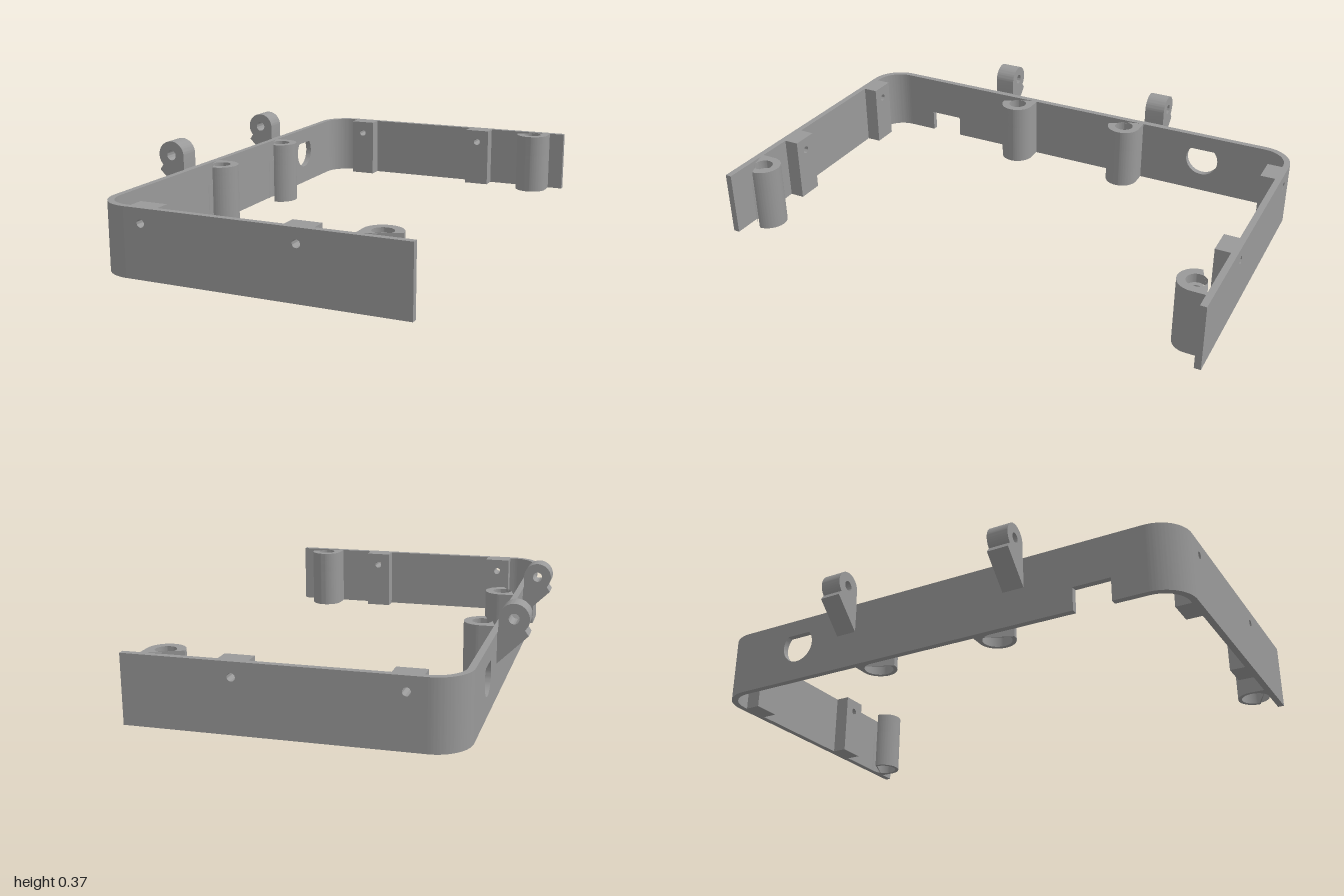
import * as THREE from 'three';
import { toCreasedNormals } from 'three/addons/utils/BufferGeometryUtils.js';

const H = 0.26;        // wall height
const T = 0.025;       // wall thickness
const R = 0.13;        // outer corner radius
const LEFT = -0.545;   // outer face of the long wall
const RIGHT = 0.66;    // open ends of the short walls

const grey = new THREE.MeshStandardMaterial({ color: 0x999999 });
grey.name = 'grey plastic';

function extrude(shape, depth) {
  const geo = new THREE.ExtrudeGeometry(shape, { depth, bevelEnabled: false, curveSegments: 24 });
  return toCreasedNormals(geo, 0.6);
}

function polygon(points) {
  return new THREE.Shape(points.map(([x, y]) => new THREE.Vector2(x, y)));
}

function circle(x, y, r) {
  return new THREE.Path().absarc(x, y, r, 0, Math.PI * 2, false);
}

function add(parent, name, geo) {
  const mesh = new THREE.Mesh(geo, grey);
  mesh.name = name;
  parent.add(mesh);
  return mesh;
}

// Upright slab seen from the front, with screw holes
function drilledSlab(x0, x1, holeXs, z0, z1) {
  const shape = polygon([[x0, 0], [x1, 0], [x1, H], [x0, H]]);
  holeXs.forEach((x) => shape.holes.push(circle(x, 0.205, 0.015)));
  return extrude(shape, z1 - z0).translate(0, 0, z0);
}

// Round post with a flat side towards +z, bored in three steps
function makePost(name, x, z, turn) {
  const post = new THREE.Group();
  post.name = name;
  const layers = [[0, 0.17, 0.055], [0.17, 0.225, 0.02], [0.225, H, 0.038]];
  for (const [y0, y1, bore] of layers) {
    const shape = new THREE.Shape();
    shape.moveTo(0.07, -0.06);
    shape.absarc(0, 0, 0.07, 0, Math.PI, false);
    shape.lineTo(-0.07, -0.06);
    shape.holes.push(circle(0, 0, bore));
    add(post, 'postSection', extrude(shape, y1 - y0).rotateX(-Math.PI / 2).translate(0, y0, 0));
  }
  post.position.set(x, 0, z);
  post.rotation.y = turn;
  return post;
}

export function createModel() {
  const model = new THREE.Group();
  model.name = 'enclosureFrame';

  // Long wall with cable notch and flat-topped round opening
  const inner = 1 - R;
  const wall = polygon([
    [-inner, 0], [0.6, 0], [0.6, 0.09], [0.745, 0.09], [0.745, 0], [inner, 0], [inner, H], [-inner, H],
  ]);
  const flat = 0.736;
  wall.holes.push(new THREE.Path().absarc(-0.605, 0.148, 0.07, Math.PI - flat, Math.PI * 2 + flat, false));
  add(model, 'longWall', extrude(wall, T).rotateY(-Math.PI / 2).translate(LEFT + T, 0, 0));

  // Hinge lug profile
  const lug = new THREE.Shape();
  lug.moveTo(-0.54, 0.135);
  lug.lineTo(-0.54, 0.26);
  lug.lineTo(-0.548, 0.26);
  lug.lineTo(-0.548, 0.313);
  lug.absarc(-0.605, 0.313, 0.057, 0, Math.PI * 1.25, false);
  lug.lineTo(-0.66, 0.252);
  lug.holes.push(circle(-0.605, 0.313, 0.02));

  const screwXs = [-0.345, 0.255];
  for (const s of [1, -1]) {
    const side = s > 0 ? 'front' : 'back';
    const slab = (x0, x1, holes, near, far) =>
      drilledSlab(x0, x1, holes, Math.min(s * near, s * far), Math.max(s * near, s * far));

    // Short wall and its drilled screw blocks
    add(model, side + 'Wall', slab(LEFT + R, RIGHT, screwXs, 1 - T, 1));
    for (const x of screwXs) add(model, side + 'ScrewBlock', slab(x - 0.055, x + 0.055, [x], 0.915, 1 - T));

    // Rounded corner
    const a0 = s > 0 ? Math.PI : Math.PI / 2;
    const corner = new THREE.Shape();
    corner.absarc(0, 0, R, a0, a0 + Math.PI / 2, false);
    corner.absarc(0, 0, R - T, a0 + Math.PI / 2, a0, true);
    add(model, side + 'Corner', extrude(corner, H).rotateX(-Math.PI / 2).translate(LEFT + R, 0, s * inner));

    // Posts on the short and long walls
    model.add(makePost(side + 'EndPost', 0.525, s * 0.92, s > 0 ? 0 : Math.PI));
    model.add(makePost(side + 'MiddlePost', -0.465, s * 0.26, -Math.PI / 2));

    // Hinge lug outside the long wall
    add(model, side + 'HingeLug', extrude(lug, 0.085).translate(0, 0, s * 0.3675 - 0.0425));
  }
  return model;
}
